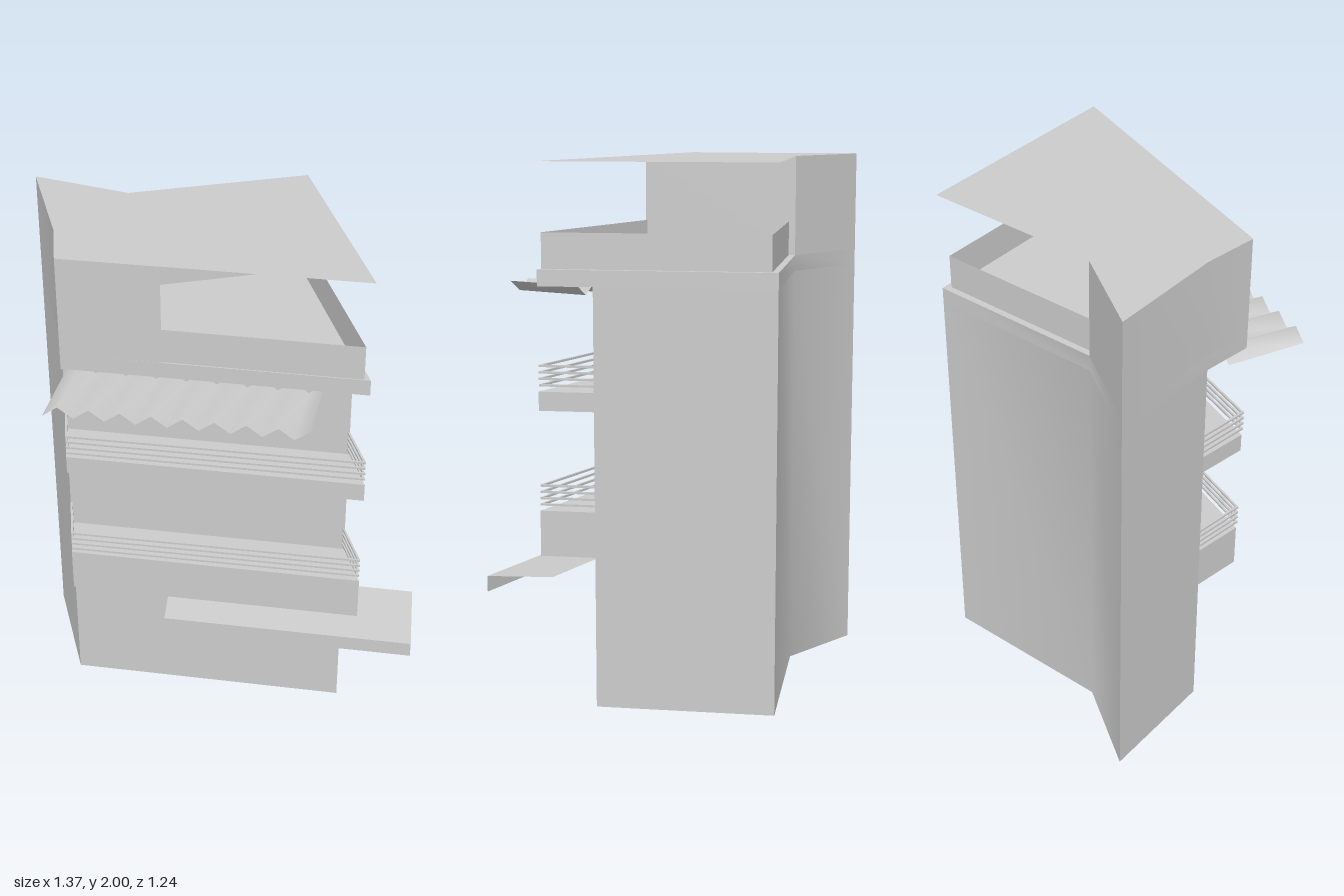
import * as THREE from 'three';
import { toCreasedNormals } from 'three/addons/utils/BufferGeometryUtils.js';

const solid = new THREE.MeshStandardMaterial({ color: 0xcccccc });
const sheet = new THREE.MeshStandardMaterial({ color: 0xcccccc, side: THREE.DoubleSide });

// plan corners as [x, z]
const backLeft = [-0.56, -0.62], backBend = [-0.25, -0.405], backRight = [0.43, -0.405];
const wallRight = [0.43, 0.255], wallLeft = [-0.56, -0.15];
const edgeRight = [0.43, 0.457], edgeLeft = [-0.59, 0.04];

const planShape = (points) => new THREE.Shape(points.map(([x, z]) => new THREE.Vector2(x, z)));

function addMesh(parent, name, geometry, material = solid) {
  const mesh = new THREE.Mesh(geometry, material);
  mesh.name = name;
  parent.add(mesh);
  return mesh;
}

// upright prism over a plan outline
function prism(points, y0, y1) {
  const g = new THREE.ExtrudeGeometry(planShape(points), { depth: y1 - y0, bevelEnabled: false });
  g.rotateX(Math.PI / 2).translate(0, y1, 0);
  return toCreasedNormals(g, 0.7);
}

// ruled sheet through rows of 3D points
function ruledSheet(rows) {
  const n = rows[0].length, index = [];
  for (let r = 0; r < rows.length - 1; r++) {
    for (let i = 0; i < n - 1; i++) {
      const a = r * n + i, b = a + n;
      index.push(a, b, a + 1, a + 1, b, b + 1);
    }
  }
  const g = new THREE.BufferGeometry();
  g.setAttribute('position', new THREE.Float32BufferAttribute(rows.flat(2), 3));
  g.setIndex(index);
  g.computeVertexNormals();
  return g;
}

// thin horizontal bars along a plan path
function addRail(parent, path, y, t = 0.008) {
  for (let i = 0; i < path.length - 1; i++) {
    const [x0, z0] = path[i], [x1, z1] = path[i + 1];
    const bar = addMesh(parent, 'rail', new THREE.BoxGeometry(Math.hypot(x1 - x0, z1 - z0) + t, t, t));
    bar.position.set((x0 + x1) / 2, y, (z0 + z1) / 2);
    bar.rotation.y = -Math.atan2(z1 - z0, x1 - x0);
  }
}

export function createModel() {
  const model = new THREE.Group();
  model.name = 'building';

  // main block, overhanging top slab and stair tower
  addMesh(model, 'mainBlock', prism([backLeft, backBend, backRight, wallRight, wallLeft], 0, 1.56));
  addMesh(model, 'topSlab', prism([backLeft, backBend, backRight, edgeRight, edgeLeft, [-0.56, -0.17]], 1.56, 1.62));
  addMesh(model, 'stairTower', prism([backLeft, backBend, [-0.25, 0.178], edgeLeft, [-0.56, -0.17]], 1.62, 1.999));

  // thin flat roof
  const roof = new THREE.ShapeGeometry(planShape([backLeft, backBend, backRight, edgeRight, edgeLeft, [-0.56, -0.17]]));
  addMesh(model, 'roof', roof.rotateX(Math.PI / 2).translate(0, 2, 0), sheet);

  // terrace parapet
  const parapet = [[-0.25, -0.38], [0.41, -0.38], [0.41, 0.445], [-0.25, 0.172]];
  const wall = (a, b) => ruledSheet([1.75, 1.62].map((y) => [a, b].map(([x, z]) => [x, y, z])));
  for (let i = 0; i < 3; i++) addMesh(model, 'parapet', wall(parapet[i], parapet[i + 1]), sheet);

  // balconies with rails
  for (const [y0, y1] of [[0.57, 0.74], [1.11, 1.18]]) {
    const balcony = new THREE.Group();
    balcony.name = 'balcony';
    addMesh(balcony, 'balconySlab', prism([wallLeft, wallRight, edgeRight, edgeLeft], y0, y1));
    const path = [[-0.557, -0.15], [-0.585, 0.046], [0.426, 0.451], [0.426, 0.255]];
    for (let i = 0; i < 4; i++) addRail(balcony, path, y1 + 0.023 + i * 0.0235);
    model.add(balcony);
  }

  // entrance canopy: sloping top and front fascia
  const inner = [[-0.19, 0.565, 0.003], [0.683, 0.565, 0.357]];
  const outer = [[-0.278, 0.533, 0.262], [0.594, 0.533, 0.617]];
  const lower = outer.map(([x, , z]) => [x, 0.475, z]);
  addMesh(model, 'canopyTop', ruledSheet([inner, outer]), sheet);
  addMesh(model, 'canopyFascia', ruledSheet([outer, lower]), sheet);

  // corrugated awning under the top slab
  const folds = 17, back = [], front = [];
  for (let i = 0; i <= folds; i++) {
    const t = i / folds, y = i % 2 ? 1.55 : 1.51;
    const x = -0.69 + 0.863 * t, z = 0.253 + 0.364 * t;
    front.push([x, y, z]);
    back.push([x + 0.127, y, z - 0.278]);
  }
  addMesh(model, 'corrugatedAwning', ruledSheet([back, front]), sheet);

  return model;
}
